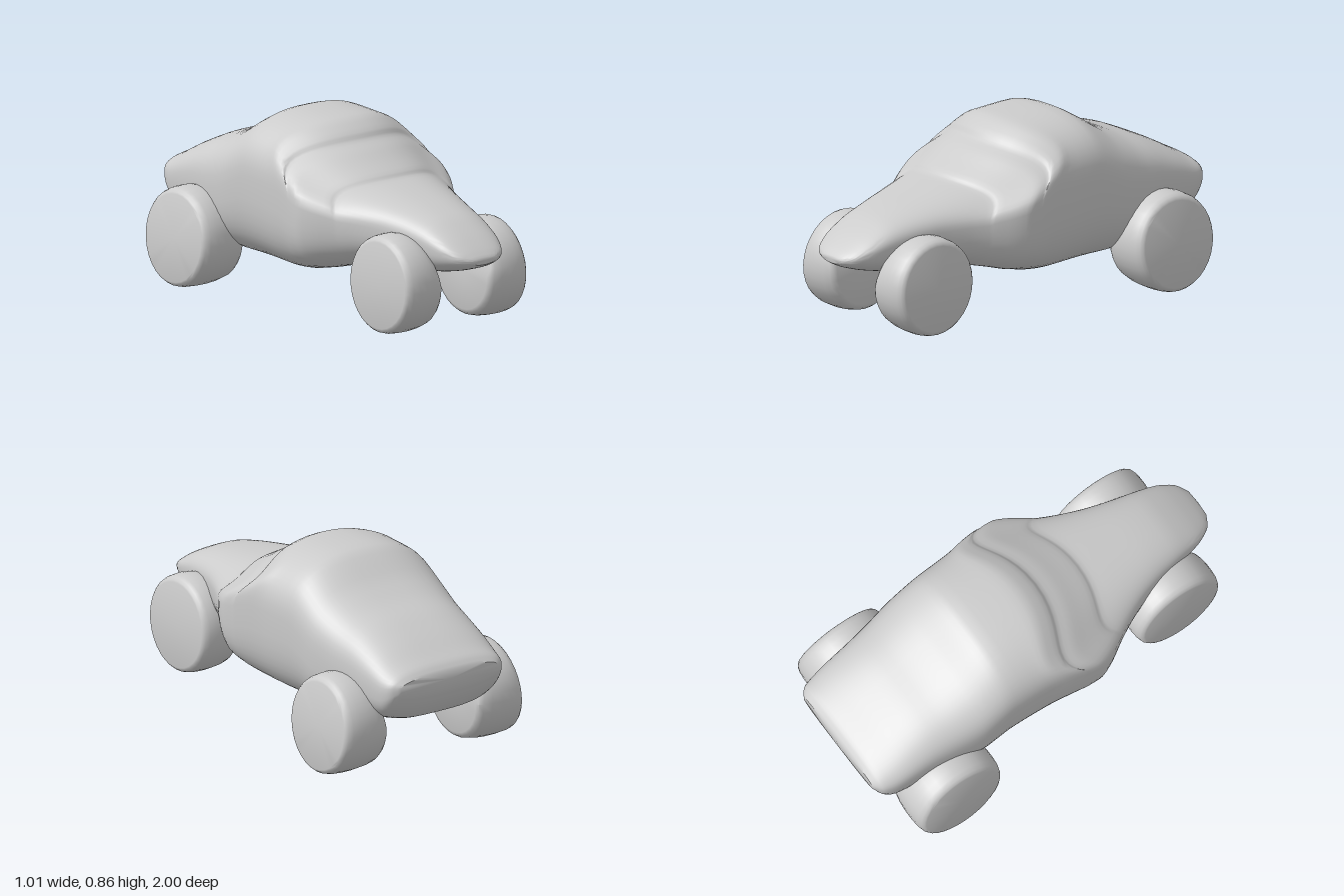
import * as THREE from 'three';
import { toCreasedNormals } from 'three/addons/utils/BufferGeometryUtils.js';

const grey = new THREE.MeshStandardMaterial({ color: 0xcccccc });

// Body cross-sections, nose to tail: z, top, bottom, half width, lower roundness
const STATIONS = [
  [0.99, 0.42, 0.385, 0.07, 2], [0.955, 0.45, 0.365, 0.125, 2.2], [0.88, 0.50, 0.34, 0.165, 2.5],
  [0.77, 0.555, 0.315, 0.19, 2.7], [0.65, 0.587, 0.31, 0.215, 2.7], [0.53, 0.61, 0.302, 0.25, 2.7],
  [0.42, 0.63, 0.288, 0.295, 2.8], [0.34, 0.645, 0.27, 0.335, 3], [0.315, 0.665, 0.262, 0.35, 3.1],
  [0.24, 0.705, 0.245, 0.395, 3.4], [0.17, 0.745, 0.225, 0.424, 3.6], [0.105, 0.775, 0.208, 0.422, 3.6],
  [0.08, 0.805, 0.2, 0.42, 3.6], [0, 0.85, 0.18, 0.408, 3.4], [-0.1, 0.86, 0.168, 0.393, 3.3],
  [-0.28, 0.862, 0.165, 0.385, 3.1], [-0.36, 0.825, 0.164, 0.385, 3], [-0.46, 0.76, 0.166, 0.383, 3],
  [-0.58, 0.705, 0.18, 0.365, 3], [-0.7, 0.665, 0.21, 0.348, 3], [-0.82, 0.61, 0.245, 0.337, 3],
  [-0.91, 0.56, 0.275, 0.325, 3], [-0.965, 0.53, 0.345, 0.305, 3], [-0.995, 0.5, 0.41, 0.265, 3],
];

function createBodyGeometry() {
  const tops = new THREE.CatmullRomCurve3(
    STATIONS.map(([z, t, b]) => new THREE.Vector3(z, t, b)), false, 'catmullrom', 0.4);
  const widths = new THREE.CatmullRomCurve3(
    STATIONS.map(([z, , , w, n]) => new THREE.Vector3(z, w, n)), false, 'catmullrom', 0.4);
  const rows = (STATIONS.length - 1) * 3, sides = 56;
  const positions = [], index = [];
  const power = (v, n) => Math.sign(v) * Math.abs(v) ** (2 / n);

  // The first and last rings shrink to a point to close the ends
  for (let i = -1; i <= rows + 1; i++) {
    const t = THREE.MathUtils.clamp(i / rows, 0, 1);
    const { x: z0, y: top, z: bottom } = tops.getPoint(t);
    const { y: width, z: lower } = widths.getPoint(t);
    const scale = i < 0 || i > rows ? 0 : 1;
    const end = scale ? 0 : Math.sign(z0) * 0.005;
    // Cabin has high shoulders and a rounded crown; the tail is boxier
    const cabin = THREE.MathUtils.smoothstep(z0, -0.6, -0.2);
    const upper = 2.8 - 0.4 * cabin;
    const mid = bottom + (top - bottom) * (0.55 + 0.06 * cabin);
    // Windshield lines sweep backwards towards the sides
    const sweep = THREE.MathUtils.smoothstep(z0, -0.25, 0.06)
      * (1 - THREE.MathUtils.smoothstep(z0, 0.32, 0.6));
    for (let j = 0; j < sides; j++) {
      const a = (j / sides) * Math.PI * 2, c = Math.cos(a), s = Math.sin(a);
      const n = s > 0 ? upper : lower;
      const x = width * power(c, n) * scale;
      const y = mid + (s > 0 ? top - mid : mid - bottom) * power(s, n) * scale;
      positions.push(x, y, z0 + end - x * x * sweep * THREE.MathUtils.smoothstep(s, 0, 0.9));
    }
  }
  for (let i = 0; i < rows + 2; i++) {
    for (let j = 0; j < sides; j++) {
      const k = (j + 1) % sides;
      const a = i * sides + j, b = i * sides + k, c = a + sides, d = b + sides;
      if (i < rows + 1) index.push(a, c, d);
      if (i > 0) index.push(a, d, b);
    }
  }
  const geometry = new THREE.BufferGeometry();
  geometry.setAttribute('position', new THREE.Float32BufferAttribute(positions, 3));
  geometry.setIndex(index);
  return toCreasedNormals(geometry, 0.7);
}

// Solid barrel-shaped wheel, axle along x, narrower at the top
function createWheelGeometry(radius, width, lean) {
  const h = width / 2;
  const profile = [
    [0, -h], [radius * 0.82, -h], [radius * 0.89, -h * 0.95], [radius * 0.94, -h * 0.8],
    [radius * 0.98, -h * 0.45], [radius, 0], [radius, h * 0.35], [radius * 0.985, h * 0.68],
    [radius * 0.955, h * 0.87], [radius * 0.91, h * 0.97], [radius * 0.87, h], [0, h],
  ].map(([r, y]) => new THREE.Vector2(r, y));
  const geometry = new THREE.LatheGeometry(profile, 32);
  geometry.rotateZ(-Math.PI / 2);
  const p = geometry.attributes.position;
  for (let i = 0; i < p.count; i++) {
    const x = p.getX(i), y = p.getY(i);
    // Outer face leans in; inner face pulls out near the top
    p.setX(i, x - (x / h) * (x > 0 ? lean * y : 0.2 * Math.max(y, 0)));
  }
  return toCreasedNormals(geometry, 0.7);
}

export function createModel() {
  const model = new THREE.Group();
  model.name = 'car';

  const body = new THREE.Mesh(createBodyGeometry(), grey);
  body.name = 'body';
  model.add(body);

  // Wheels: x, y, z, radius, width, lean
  const axles = [
    ['front', 0.237, 0.271, 0.652, 0.226, 0.21, 0.05],
    ['rear', 0.367, 0.233, -0.66, 0.229, 0.24, 0.1],
  ];
  for (const [name, x, y, z, radius, width, lean] of axles) {
    const geometry = createWheelGeometry(radius, width, lean);
    for (const side of [1, -1]) {
      const wheel = new THREE.Mesh(geometry, grey);
      wheel.name = `${name}${side > 0 ? 'Left' : 'Right'}Wheel`;
      wheel.position.set(side * x, y, z);
      // Mirrored for the right-hand side
      wheel.scale.x = side;
      model.add(wheel);
    }
  }
  return model;
}
